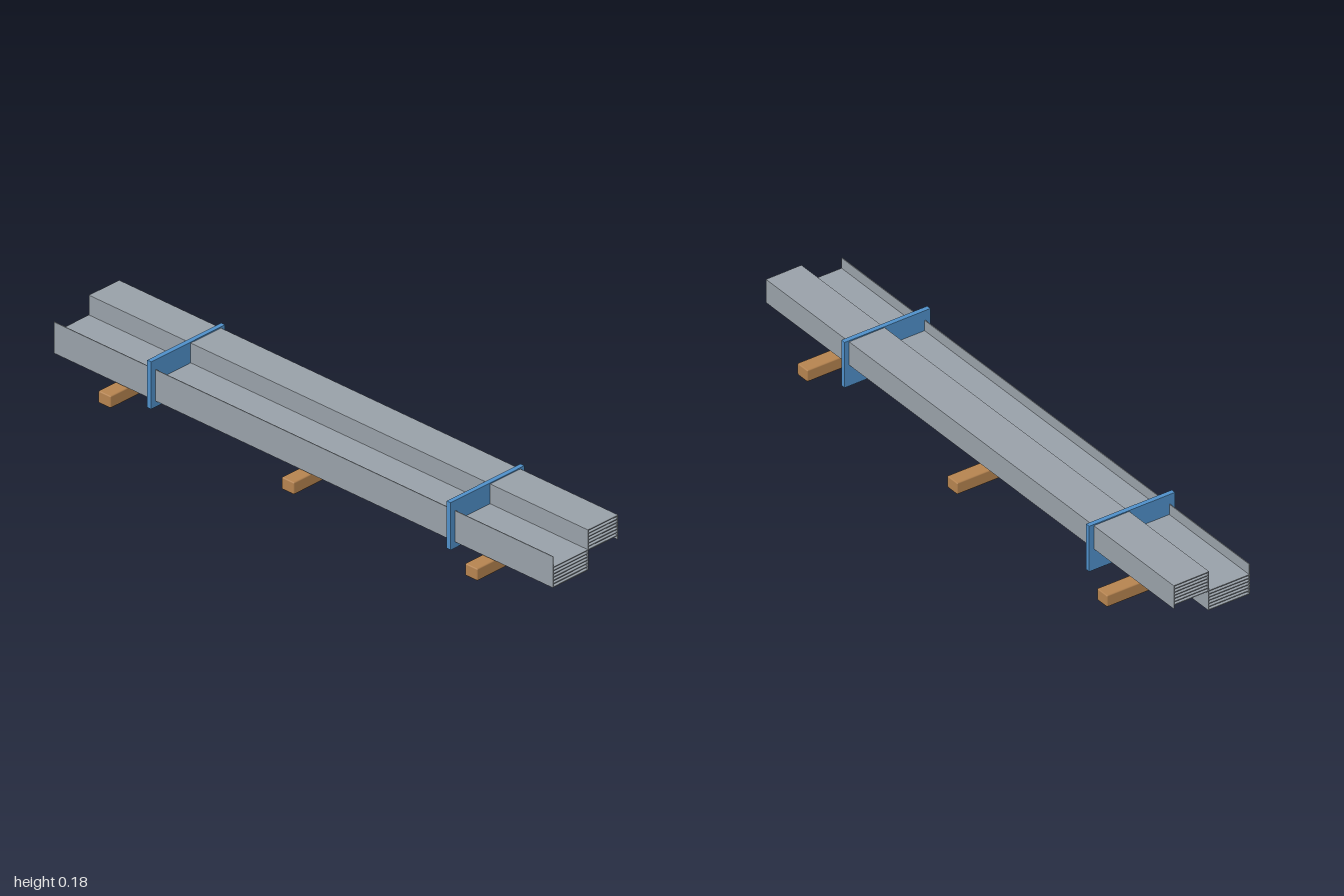
import * as THREE from 'three';
import { RoundedBoxGeometry } from 'three/addons/geometries/RoundedBoxGeometry.js';

const material = (name, color) => {
  const m = new THREE.MeshStandardMaterial({ color });
  m.name = name;
  return m;
};

export function createModel() {
  const steel = material('galvanised steel', 0x98a0a8);
  const blue = material('blue strap', 0x4f8fc8);
  const wood = material('timber', 0xb5834f);
  const model = new THREE.Group();
  model.name = 'purlinBundle';

  const add = (name, geometry, mat, x, y, z, parent = model) => {
    const mesh = new THREE.Mesh(geometry, mat);
    mesh.name = name;
    mesh.position.set(x, y, z);
    parent.add(mesh);
  };

  // Lipped Z section: front lip, lower flange, web, upper flange, rear lip
  const t = 0.0028, h = 0.068;
  const web = 0.012, front = -0.135, back = 0.1365;
  const section = new THREE.Shape([
    [front, 0], [web + t / 2, 0],
    [web + t / 2, h - t], [back - t, h - t - 0.001],
    [back - t, 0.052], [back, 0.052], [back, h - 0.001],
    [web - t / 2, h], [web - t / 2, t],
    [front + t, t], [front + t, 0.038], [front, 0.038],
  ].map(([x, y]) => new THREE.Vector2(x, y)));
  const purlinGeometry = new THREE.ExtrudeGeometry(section, { depth: 2, bevelEnabled: false });
  purlinGeometry.translate(0, 0, -1).rotateY(Math.PI / 2);

  // Seven nested purlins stacked upwards
  const stack = new THREE.Group();
  stack.name = 'purlinStack';
  model.add(stack);
  for (let i = 0; i < 7; i++) {
    add(`purlin${i + 1}`, purlinGeometry, steel, 0, 0.045 + i * 0.0108, 0, stack);
  }

  // Plates holding the bundle together
  const strapGeometry = new THREE.BoxGeometry(0.016, 0.156, 0.306);
  for (const x of [-0.6, 0.6]) add('strap', strapGeometry, blue, x, 0.103, 0);

  // Timber bearers with softened edges
  const bearerGeometry = new RoundedBoxGeometry(0.05, 0.04, 0.4, 1, 0.004);
  for (const x of [-0.735, 0, 0.735]) add('bearer', bearerGeometry, wood, x, 0.02, 0);

  return model;
}
